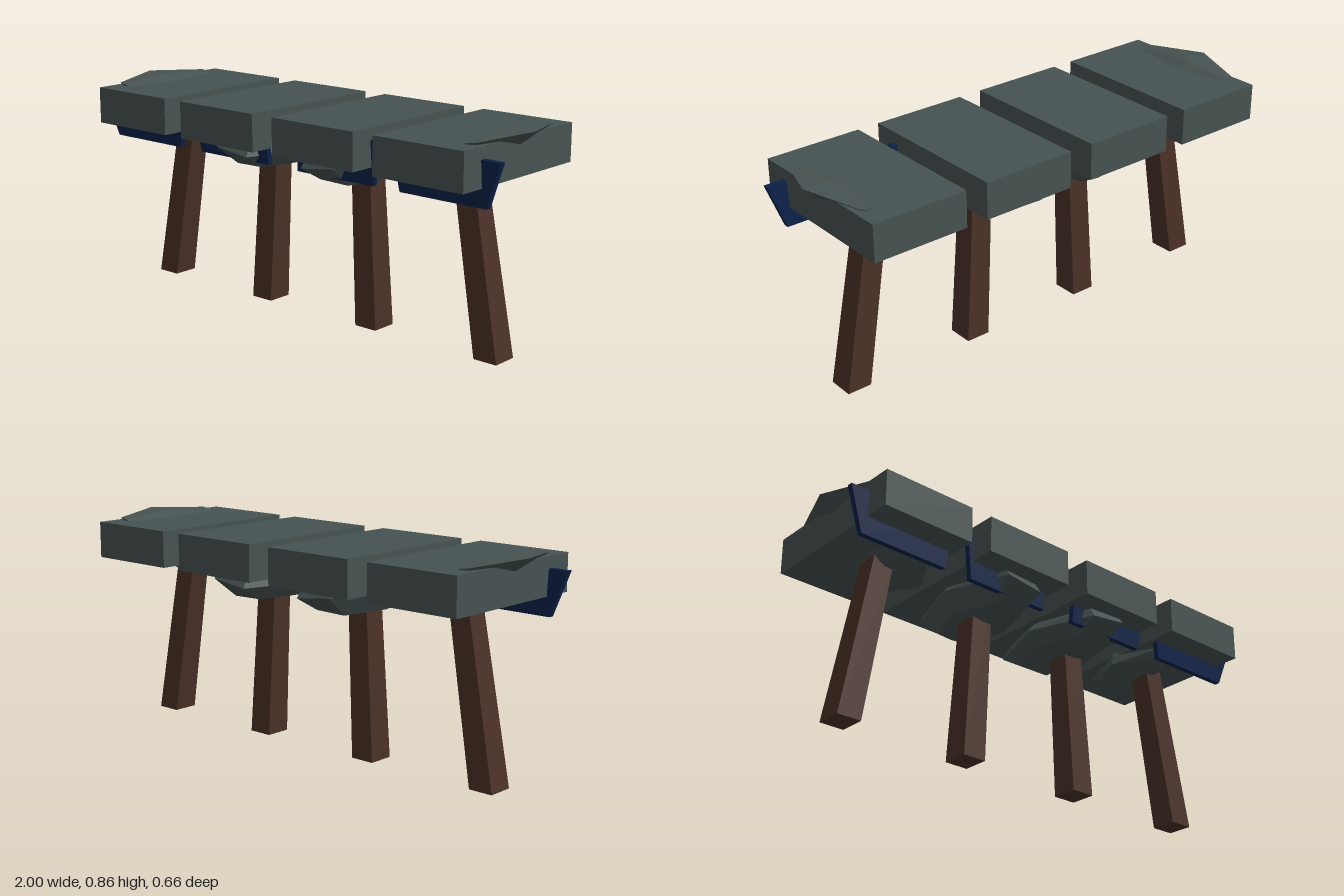
import * as THREE from 'three';
import { ConvexGeometry } from 'three/addons/geometries/ConvexGeometry.js';

const mat = (name, color) => {
  const m = new THREE.MeshStandardMaterial({ color });
  m.name = name;
  return m;
};

// Points with z = 0 stay single; others are mirrored front to back.
const mirrorZ = (pts) => pts.flatMap(([x, y, z]) => (z ? [[x, y, z], [x, y, -z]] : [[x, y, 0]]));

// Four corners of a level rectangle.
const rect = (x0, x1, y, z0, z1) => [[x0, y, z0], [x1, y, z0], [x1, y, z1], [x0, y, z1]];

export function createModel() {
  const stone = mat('slate grey', 0x465251);
  const wood = mat('dark brown', 0x4a3127);
  const navy = mat('navy blue', 0x0b2148);
  const model = new THREE.Group();
  model.name = 'segmentedBench';

  // Faceted solid from its corner points; side = 1 or -1 mirrors it in x.
  const solid = (name, pts, side, material) => {
    const geo = new ConvexGeometry(pts.map(([x, y, z]) => new THREE.Vector3(x * side, y, z)));
    const mesh = new THREE.Mesh(geo, material);
    mesh.name = name;
    return mesh;
  };

  // Lumps under the slabs; the outer one tilts up and breaks through the end.
  const innerLump = mirrorZ([
    [0.222, 0.571, 0], [0.09, 0.593, 0], [0.345, 0.592, 0],
    [0.15, 0.588, 0.17], [0.285, 0.585, 0.17],
    [0.046, 0.647, 0], [0.14, 0.645, 0.27], [0.30, 0.665, 0.27], [0.39, 0.67, 0],
    [0.07, 0.685, 0], [0.15, 0.70, 0.24], [0.30, 0.72, 0.24], [0.37, 0.72, 0],
  ]);
  const outerLump = mirrorZ([
    [0.98, 0.857, 0], [0.865, 0.857, 0], [0.90, 0.843, 0.235], [0.86, 0.838, 0.235],
    [0.51, 0.645, 0], [0.52, 0.70, 0], [0.60, 0.647, 0.16], [0.62, 0.69, 0.235],
    [0.64, 0.636, 0], [0.71, 0.642, 0.07], [0.79, 0.69, 0],
  ]);

  const segments = [
    { name: 'inner', slabX: 0.245, foot: 0.275, head: 0.235, lump: innerLump,
      brace: [0.075, 0.44, 0.085, 0.468] },
    { name: 'outer', slabX: 0.725, foot: 0.835, head: 0.709, lump: outerLump,
      brace: [0.563, 0.938, 0.535, 1.0] },
  ];

  for (const side of [1, -1]) {
    for (const s of segments) {
      const g = new THREE.Group();
      g.name = `${s.name}${side > 0 ? 'Left' : 'Right'}Segment`;

      // Seat slab
      const slab = new THREE.Mesh(new THREE.BoxGeometry(0.39, 0.146, 0.656), stone);
      slab.position.set(side * s.slabX, 0.76, 0);
      slab.name = 'slab';
      g.add(slab);

      // Splayed, slightly tapered leg
      g.add(solid('leg', [
        ...rect(s.foot - 0.05, s.foot + 0.05, 0, -0.053, 0.053),
        ...rect(s.head - 0.044, s.head + 0.044, 0.69, -0.043, 0.043),
      ], side, wood));

      g.add(solid('lump', s.lump, side, stone));

      // Leaning brace plate near the front
      const [b0, b1, t0, t1] = s.brace;
      g.add(solid('brace', [
        ...rect(b0, b1, 0.616, 0.194, 0.216),
        ...rect(t0, t1, 0.788, 0.207, 0.231),
      ], side, navy));

      model.add(g);
    }
  }
  return model;
}
